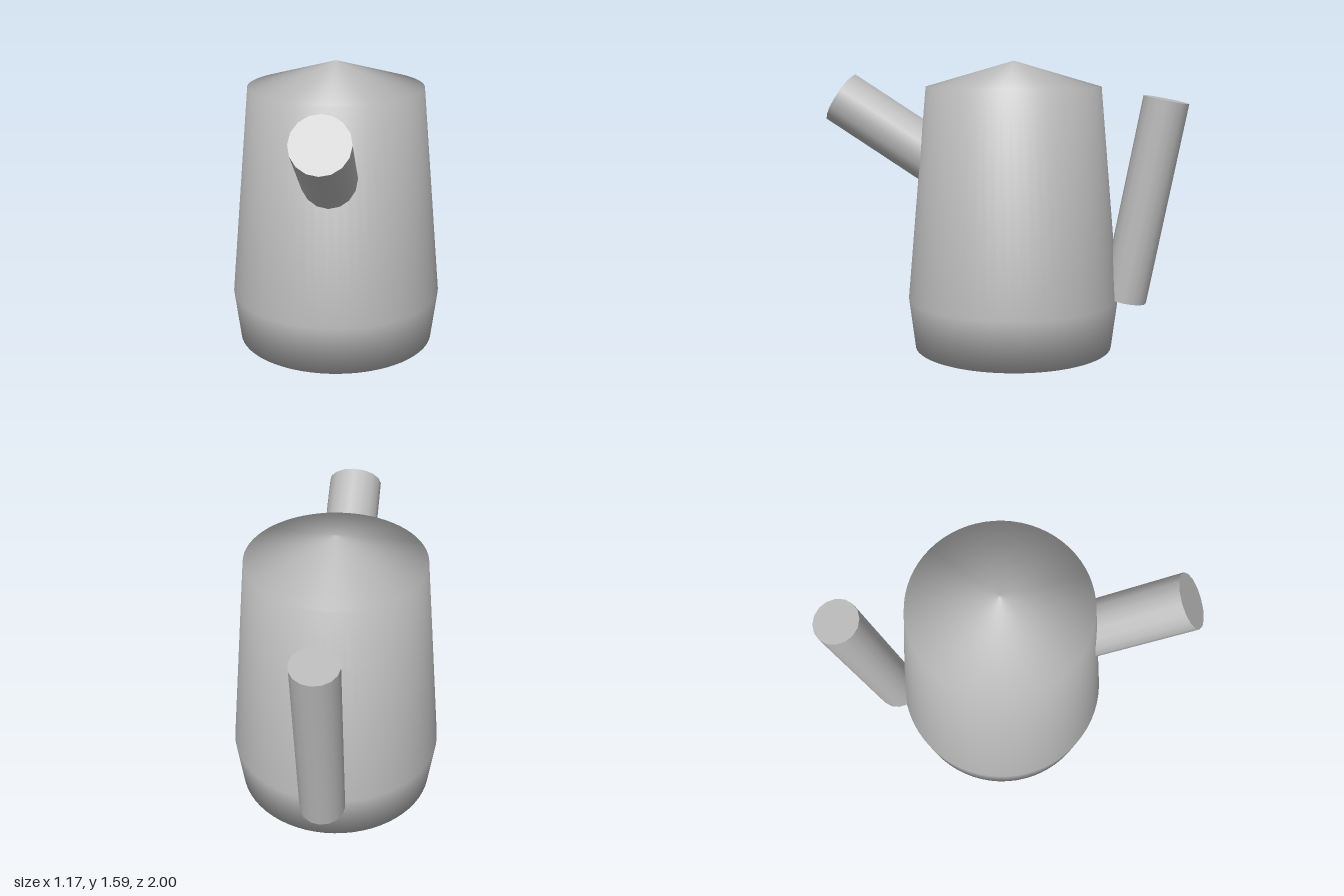
import * as THREE from 'three';

const metal = new THREE.MeshStandardMaterial({ color: 0xbbbbbb });
metal.name = 'grey metal';

// Cylinder running between two points of the x = 0 plane, given as [y, z]
function rod(name, radius, from, to) {
  const a = new THREE.Vector3(0, ...from);
  const b = new THREE.Vector3(0, ...to);
  const mesh = new THREE.Mesh(new THREE.CylinderGeometry(radius, radius, a.distanceTo(b), 16), metal);
  mesh.name = name;
  mesh.position.copy(a).lerp(b, 0.5);
  mesh.quaternion.setFromUnitVectors(new THREE.Vector3(0, 1, 0), b.sub(a).normalize());
  return mesh;
}

export function createModel() {
  const group = new THREE.Group();
  group.name = 'kettle';

  // Turned body: flat base, low belly, tapering wall and conical lid, smooth throughout
  const profile = [[0, 0], [0.55, 0], [0.585, 0.28], [0.48, 1.45], [0, 1.59]]
    .map(([r, y]) => new THREE.Vector2(r, y));
  const body = new THREE.Mesh(new THREE.LatheGeometry(profile, 64), metal);
  body.name = 'body';
  body.position.z = -0.05;
  group.add(body);

  // Spout rising from the front, straight handle leaning away at the back
  group.add(rod('spout', 0.15, [1.01, 0.33], [1.385, 0.92]));
  group.add(rod('handle', 0.124, [0.285, -0.668], [1.385, -0.877]));
  return group;
}
